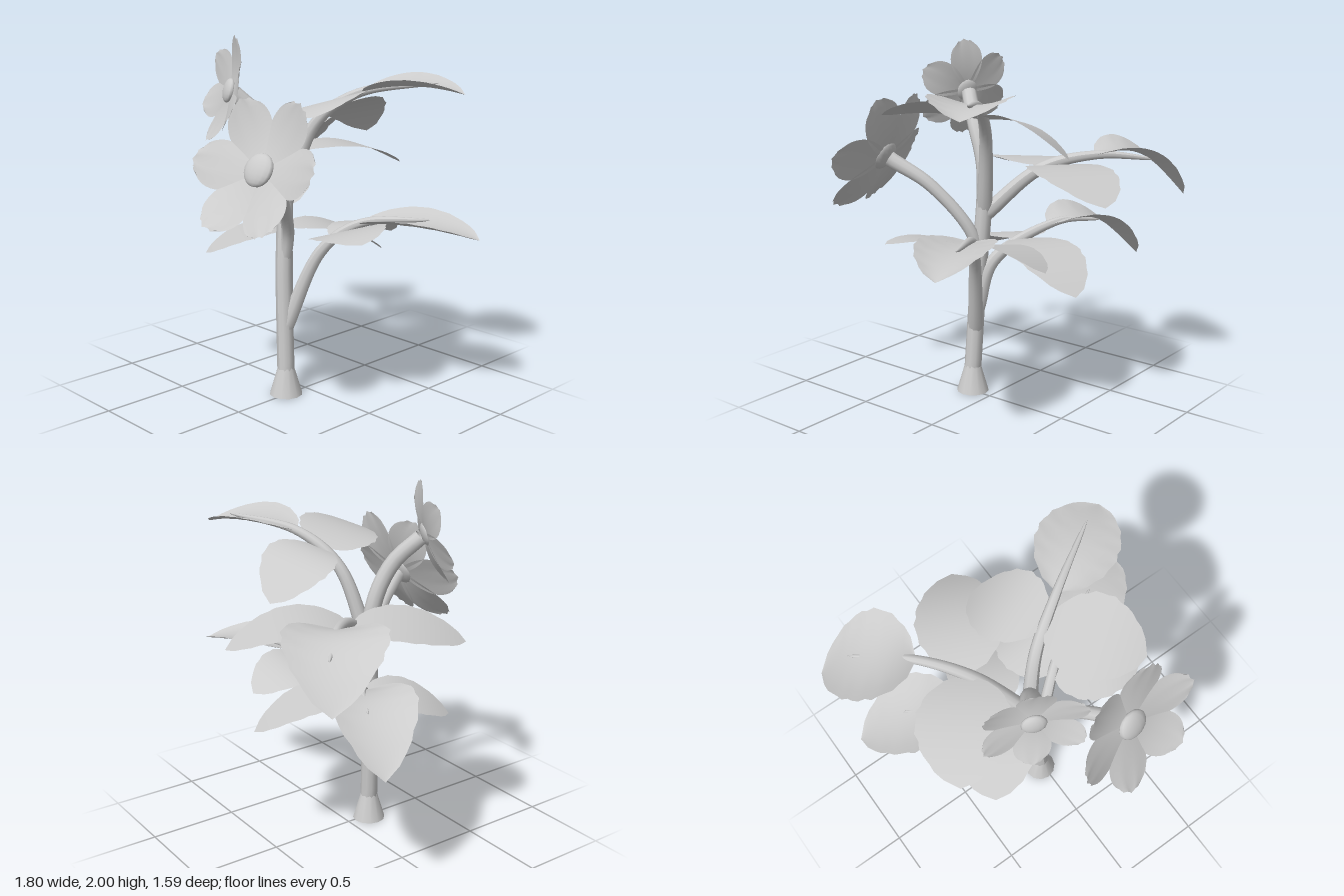
import * as THREE from 'three';

const V = (x, y, z) => new THREE.Vector3(x, y, z);
const grey = new THREE.MeshStandardMaterial({ color: 0xcccccc, side: THREE.DoubleSide });

function mesh(name, geometry) {
  const m = new THREE.Mesh(geometry, grey);
  m.name = name;
  return m;
}

// Tube along a curve whose radius follows a rule of the distance along it
function stem(name, curve, radiusAt) {
  const segs = 28, sides = 10;
  const geo = new THREE.TubeGeometry(curve, segs, 1, sides);
  const pos = geo.attributes.position, p = V(0, 0, 0);
  for (let i = 0; i <= segs; i++) {
    const c = curve.getPointAt(i / segs);
    for (let j = 0; j <= sides; j++) {
      const n = i * (sides + 1) + j;
      p.fromBufferAttribute(pos, n).sub(c).multiplyScalar(radiusAt(i / segs)).add(c);
      pos.setXYZ(n, p.x, p.y, p.z);
    }
  }
  geo.computeVertexNormals();
  return mesh(name, geo);
}

const path = (...points) => new THREE.CatmullRomCurve3(points, false, 'centripetal');

// Curved sheet from a rule: t runs along the length, s from -1 to 1 across
function sheet(rows, cols, rule) {
  const geo = new THREE.PlaneGeometry(1, 1, cols, rows);
  const pos = geo.attributes.position;
  for (let i = 0; i <= rows; i++) {
    for (let j = 0; j <= cols; j++) {
      const p = rule(i / rows, (j / cols) * 2 - 1);
      pos.setXYZ(i * (cols + 1) + j, p.x, p.y, p.z);
    }
  }
  geo.computeVertexNormals();
  return geo;
}

// Broad arched leaf; cup lifts its edges, roll is how steeply it rises towards +x
function leaf(name, base, tip, width, arch, cup, roll) {
  const side = tip.clone().sub(base).cross(V(0, 1, 0)).normalize();
  side.y = roll * side.x;
  return mesh(name, sheet(16, 8, (t, s) => {
    const outline = Math.pow(Math.max(Math.sin(Math.PI * Math.pow(t, 0.9)), 0.0001), 0.6);
    const ripple = 1 + 0.03 * Math.sin(t * 38 + s * 2 + base.x * 9);
    const p = base.clone().lerp(tip, t);
    p.y += arch * 4 * t * (1 - t) + cup * s * s * outline;
    return p.addScaledVector(side, s * outline * ripple * width / 2);
  }));
}

// Tapering stem with a leaf at its end and one to either side
function branch(name, curve, { fork, end, front, back, width, arch, roll }) {
  const g = new THREE.Group();
  g.name = name;
  const joint = curve.getPointAt(fork);
  g.add(
    stem('leafStem', curve, (t) => 0.003 + 0.042 * Math.pow(1 - t, 0.6)),
    leaf('endLeaf', curve.getPointAt(0.66), end, width, arch, 0.05, 0),
    leaf('frontLeaf', joint, front, width, 0.05, 0, roll),
    leaf('backLeaf', joint, back, width * 0.93, 0.08, 0, roll * 0.7),
  );
  return g;
}

// Six blunt, cupped petals around a domed centre, facing the given direction
function flower(name, centre, facing, radius, turn) {
  const g = new THREE.Group();
  g.name = name;
  const petal = sheet(14, 8, (t, s) => {
    const spread = 0.3 + 0.7 * Math.sin(Math.min(t / 0.72, 1) * Math.PI / 2);
    const w = 0.35 * spread * Math.sqrt(1 - 0.75 * t ** 7);
    const r = 0.08 + 0.92 * t - 0.07 * s * s * t + 0.02 * Math.cos(s * 8) * t * t;
    return V(r, s * w, 0.2 * t * t - 0.04 * s * s * t + 0.01).multiplyScalar(radius);
  });
  for (let i = 0; i < 6; i++) {
    const p = mesh('petal', petal);
    p.rotation.z = turn + (i * Math.PI) / 3;
    g.add(p);
  }
  const eye = mesh('flowerCentre', new THREE.SphereGeometry(radius * 0.23, 14, 10));
  eye.scale.z = 0.4;
  eye.position.z = radius * 0.04;
  g.add(eye);
  g.position.copy(centre);
  g.quaternion.setFromUnitVectors(V(0, 0, 1), facing.normalize());
  return g;
}

export function createModel() {
  const plant = new THREE.Group();
  plant.name = 'floweringPlant';

  // Flared foot and trunk, which runs on into the upper flower
  const foot = mesh('trunkFoot', new THREE.CylinderGeometry(0.046, 0.093, 0.16, 12, 1, true));
  foot.position.set(-0.015, 0.08, 0.135);
  const trunk = path(V(-0.015, 0.14, 0.135), V(-0.045, 0.65, 0.12), V(-0.08, 1.3, 0.1),
    V(-0.12, 1.55, 0.2), V(-0.215, 1.7, 0.32));
  plant.add(foot, stem('trunk', trunk, (t) => 0.049 - 0.006 * t));

  // Forward stem and the two flowers
  const forward = path(V(-0.05, 0.75, 0.11), V(0, 0.95, 0.13), V(0.13, 1.22, 0.32), V(0.24, 1.36, 0.52));
  plant.add(
    stem('flowerStem', forward, (t) => 0.035 + 0.01 * t ** 4),
    flower('upperFlower', V(-0.22, 1.71, 0.335), V(-0.45, 0.3, 1), 0.285, 0.36),
    flower('lowerFlower', V(0.245, 1.37, 0.54), V(0.12, 0.45, 0.88), 0.385, 0.05),
  );

  // Leaf branches
  plant.add(
    branch('upperLeftBranch',
      path(V(-0.07, 1.08, 0.09), V(0.06, 1.53, -0.02), V(0.26, 1.7, -0.14), V(0.62, 1.765, -0.36)),
      { fork: 0.51, end: V(0.75, 1.71, -0.42), front: V(0.45, 1.64, 0.37), back: V(-0.02, 1.43, -0.51),
        width: 0.43, arch: 0.04, roll: 0.34 }),
    branch('upperRightBranch',
      path(V(-0.075, 1.05, 0.09), V(-0.25, 1.31, -0.16), V(-0.45, 1.385, -0.39), V(-0.72, 1.35, -0.63)),
      { fork: 0.4, end: V(-0.87, 1.14, -0.72), front: V(-0.64, 1.24, 0.28), back: V(0.02, 1.22, -0.76),
        width: 0.51, arch: 0.12, roll: 0.08 }),
    branch('lowerLeftBranch',
      path(V(-0.03, 0.38, 0.125), V(0.13, 0.84, 0), V(0.3, 1, -0.12), V(0.64, 1.05, -0.3)),
      { fork: 0.53, end: V(0.9, 0.97, -0.39), front: V(0.62, 1, 0.2), back: V(0.18, 0.87, -0.51),
        width: 0.4, arch: 0.04, roll: 0.3 }),
    branch('lowerRightBranch',
      path(V(-0.04, 0.5, 0.12), V(-0.1, 0.78, 0.05), V(-0.38, 0.99, -0.19), V(-0.62, 0.98, -0.33)),
      { fork: 0.49, end: V(-0.88, 0.74, -0.42), front: V(-0.47, 0.77, 0.33), back: V(0.03, 0.72, -0.6),
        width: 0.45, arch: 0.13, roll: 0.05 }),
  );
  return plant;
}
